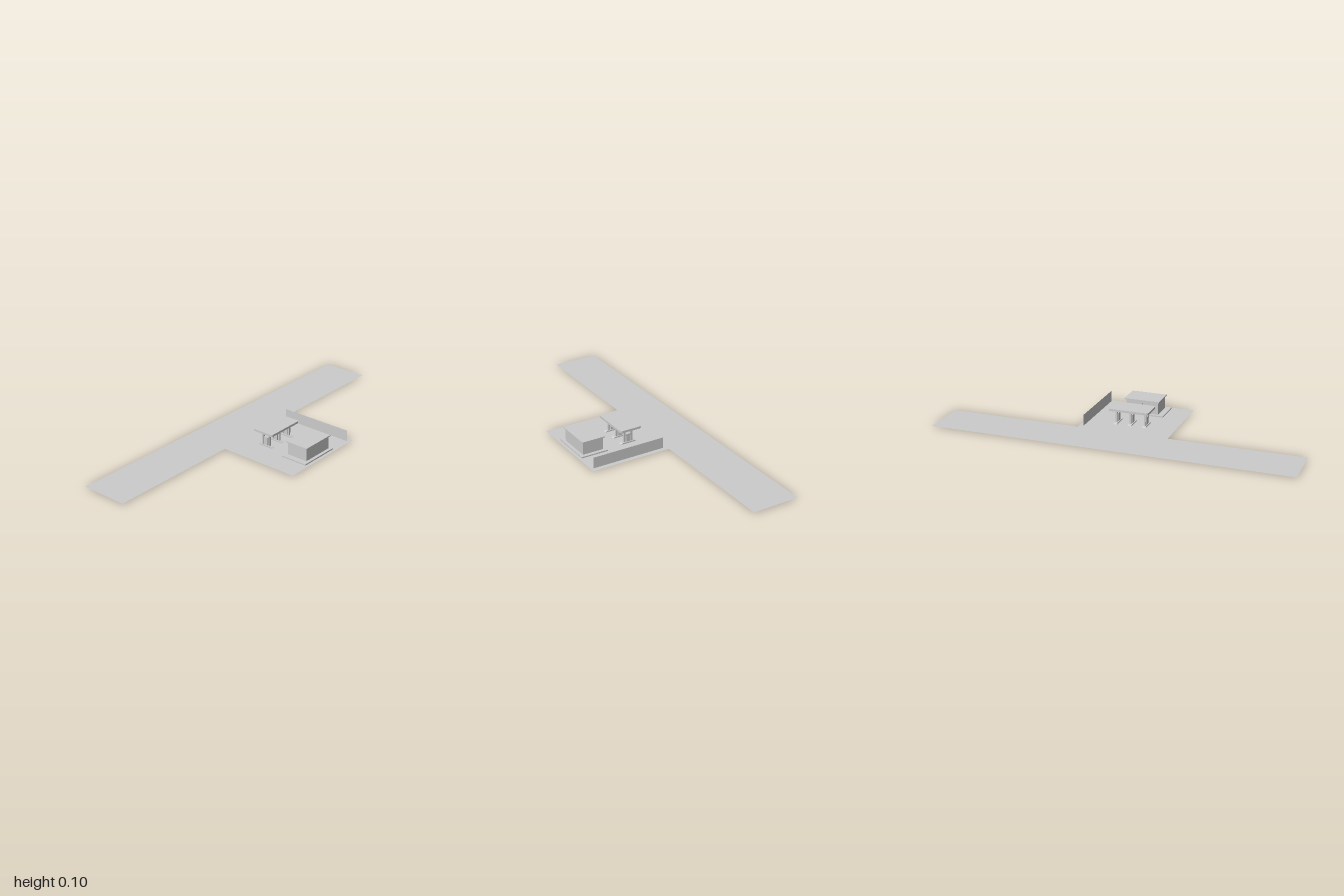
import * as THREE from 'three';

const grey = new THREE.MeshStandardMaterial({ color: 0xcccccc, flatShading: true });
const thin = new THREE.MeshStandardMaterial({ color: 0xcccccc, flatShading: true, side: THREE.DoubleSide });
const GROUND = 0.004;

export function createModel() {
  const root = new THREE.Group();

  const add = (name, geometry, material = grey, parent = root) => {
    const mesh = new THREE.Mesh(geometry, material);
    mesh.name = name;
    parent.add(mesh);
    return mesh;
  };
  // Box given by its extents on each axis
  const box = (name, [x0, x1], [y0, y1], [z0, z1], parent = root) => {
    const mesh = add(name, new THREE.BoxGeometry(x1 - x0, y1 - y0, z1 - z0), grey, parent);
    mesh.position.set((x0 + x1) / 2, (y0 + y1) / 2, (z0 + z1) / 2);
    return mesh;
  };
  const group = (name) => {
    const g = new THREE.Group();
    g.name = name;
    root.add(g);
    return g;
  };

  // Road and forecourt: one flat T-shaped sheet, drawn in x and -z
  const outline = [[-0.365, -1], [-0.1, -1], [-0.1, -0.255], [0.36, -0.255],
    [0.36, 0.257], [-0.1, 0.257], [-0.1, 1], [-0.365, 1]];
  const ground = add('roadAndForecourt',
    new THREE.ShapeGeometry(new THREE.Shape(outline.map(([x, y]) => new THREE.Vector2(x, y)))), thin);
  ground.rotation.x = -Math.PI / 2;
  ground.position.y = GROUND;

  // Boundary wall: thin upright sheet
  const wall = add('boundaryWall', new THREE.PlaneGeometry(0.421, 0.062), thin);
  wall.position.set(0.1325, 0.035, -0.232);

  // Canopy slab with rounded corners
  const x0 = -0.018, x1 = 0.108, z0 = -0.112, z1 = 0.115, r = 0.012;
  const slab = new THREE.Shape();
  slab.absarc(x1 - r, z1 - r, r, 0, Math.PI / 2);
  slab.absarc(x0 + r, z1 - r, r, Math.PI / 2, Math.PI);
  slab.absarc(x0 + r, z0 + r, r, Math.PI, Math.PI * 1.5);
  slab.absarc(x1 - r, z0 + r, r, Math.PI * 1.5, Math.PI * 2);
  const canopy = add('canopy', new THREE.ExtrudeGeometry(slab,
    { depth: 0.012, bevelEnabled: false, curveSegments: 4 }));
  canopy.rotation.x = Math.PI / 2;
  canopy.position.y = 0.097;

  // Kerb island profile with sloping ends, shared by all pump islands
  const kerb = new THREE.Shape([[-0.002, 0.002], [0.095, 0.002], [0.082, 0.011], [0.011, 0.011]]
    .map(([x, y]) => new THREE.Vector2(x, y)));
  const kerbGeometry = new THREE.ExtrudeGeometry(kerb, { depth: 0.022, bevelEnabled: false });

  // Three islands, each with two columns, a beam and a pump
  for (const z of [-0.079, 0.003, 0.085]) {
    const island = group('pumpIsland');
    add('kerb', kerbGeometry, grey, island).position.z = z - 0.011;
    for (const x of [0.025, 0.067]) {
      box('canopyColumn', [x - 0.005, x + 0.005], [0.011, 0.085], [z - 0.005, z + 0.005], island);
    }
    box('canopyBeam', [0.008, 0.084], [0.082, 0.086], [z - 0.007, z + 0.007], island);
    box('pumpBody', [0.035, 0.057], [0, 0.047], [z - 0.006, z + 0.006], island);
    box('pumpHead', [0.033, 0.059], [0.047, 0.057], [z - 0.007, z + 0.007], island);
  }

  // Shop: paving, walls, overhanging roof
  const shop = group('shop');
  box('paving', [0.187, 0.343], [0.003, 0.011], [-0.11, 0.13], shop);
  box('shopWalls', [0.206, 0.325], [0.011, 0.083], [-0.09, 0.097], shop);
  box('shopRoof', [0.195, 0.331], [0.082, 0.088], [-0.098, 0.105], shop);

  // Shopfront framing towards the pumps
  for (let i = 0; i <= 4; i++) {
    const z = -0.087 + i * 0.04525;
    box('shopfrontPost', [0.203, 0.206], [0.011, 0.083], [z - 0.003, z + 0.003], shop);
  }
  box('shopfrontSill', [0.203, 0.206], [0.011, 0.022], [-0.09, 0.045], shop);
  box('shopfrontHeader', [0.203, 0.206], [0.07, 0.083], [-0.09, 0.097], shop);

  return root;
}
